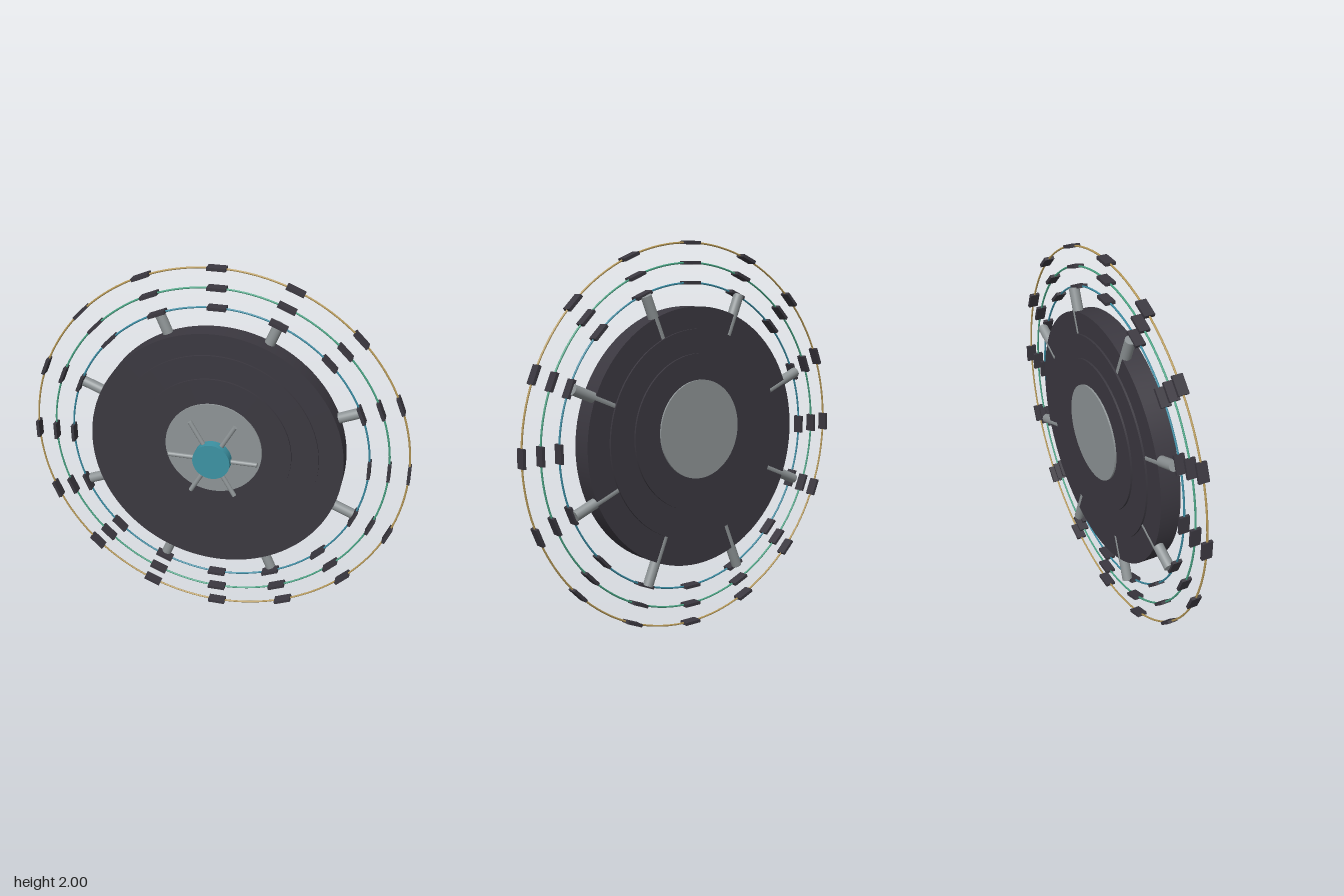
import * as THREE from 'three';

const CY = 1;      // height of the wheel axis
const MID = -0.025; // depth of the ring plane

function material(name, color) {
  const m = new THREE.MeshStandardMaterial({ color });
  m.name = name;
  return m;
}

export function createModel() {
  const dark = material('charcoal', 0x3b3840);
  const grey = material('grey metal', 0x8e9496);
  const teal = material('teal', 0x3c92a3);
  const blue = material('blue ring', 0x3a8ca3);
  const green = material('green ring', 0x4aa585);
  const gold = material('gold ring', 0xb89a58);

  const model = new THREE.Group();
  model.name = 'ringedDisc';

  function add(parent, name, geometry, mat) {
    const mesh = new THREE.Mesh(geometry, mat);
    mesh.name = name;
    parent.add(mesh);
    return mesh;
  }

  // Disc facing +z between two depths
  function disc(name, radius, y, back, front, mat) {
    const g = new THREE.CylinderGeometry(radius, radius, front - back, 96).rotateX(Math.PI / 2);
    add(model, name, g, mat).position.set(0, y, (front + back) / 2);
  }

  // Evenly spaced copies around the axis; each geometry points along +x
  function radial(name, geometry, mat, count, start) {
    const group = new THREE.Group();
    group.name = name + 's';
    group.position.y = CY;
    for (let i = 0; i < count; i++) {
      add(group, name, geometry, mat).rotation.z = start + (i / count) * Math.PI * 2;
    }
    model.add(group);
  }

  // Stepped body, each tier slightly higher than the last
  disc('outerTier', 0.669, 1.006, -0.078, 0.028, dark);
  disc('middleTier', 0.543, 1.021, -0.088, 0.038, dark);
  disc('innerTier', 0.404, 1.037, -0.098, 0.048, dark);
  disc('centrePlate', 0.254, 1.053, -0.107, 0.057, grey);

  // Hub and its front spokes
  disc('hub', 0.098, CY, 0.05, 0.107, teal);
  const spoke = new THREE.CylinderGeometry(0.012, 0.012, 0.235, 16)
    .rotateZ(Math.PI / 2).translate(0.1175, 0, 0.074);
  radial('spoke', spoke, grey, 6, 0);

  // Struts reaching from the body to the inner ring
  const strut = new THREE.CylinderGeometry(0.027, 0.027, 0.29, 24)
    .rotateZ(Math.PI / 2).translate(0.645, 0, -0.0535);
  radial('strut', strut, grey, 8, Math.PI / 8);

  // Three thin rings, each carrying sixteen blocks
  [['inner', 0.792, blue], ['middle', 0.892, green], ['outer', 0.992, gold]].forEach(([name, r, mat]) => {
    add(model, name + 'Ring', new THREE.TorusGeometry(r, 0.005, 8, 128), mat).position.set(0, CY, MID);
    const block = new THREE.BoxGeometry(0.016, 0.094, 0.053).translate(r, 0, MID);
    radial(name + 'RingBlock', block, dark, 16, 0);
  });

  return model;
}
